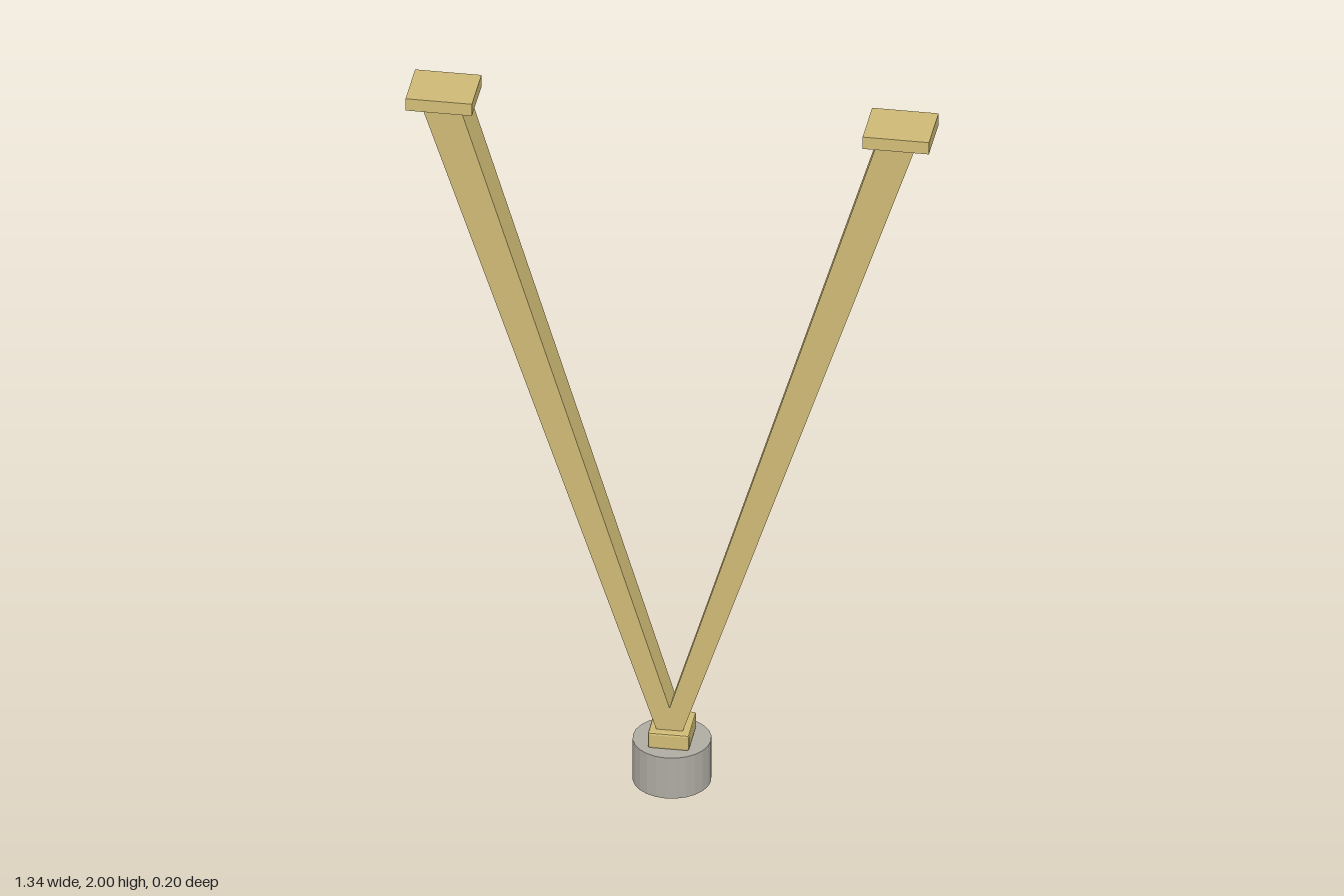
import * as THREE from 'three';
import { RoundedBoxGeometry } from 'three/addons/geometries/RoundedBoxGeometry.js';

export function createModel() {
  const model = new THREE.Group();
  model.name = 'vStand';
  const brass = new THREE.MeshStandardMaterial({ name: 'brass', color: 0xcfba75, flatShading: true });
  const steel = new THREE.MeshStandardMaterial({ name: 'steel grey', color: 0xaeaba2, flatShading: true });

  function add(name, geometry, material, x, y, z = 0) {
    const mesh = new THREE.Mesh(geometry, material);
    mesh.name = name;
    mesh.position.set(x, y, z);
    model.add(mesh);
    return mesh;
  }

  // Leaning square bar, wider at the top than at the foot
  function armGeometry(side) {
    const foot = { y: 0.13, inner: -0.031, outer: 0.022, depth: 0.039 };
    const head = { y: 1.975, inner: 0.535, outer: 0.635, depth: 0.054 };
    const geometry = new THREE.BoxGeometry(1, 1, 1);
    const p = geometry.attributes.position;
    for (let i = 0; i < p.count; i++) {
      const end = p.getY(i) > 0 ? head : foot;
      const x = p.getX(i) * side > 0 ? end.outer : end.inner;
      p.setXYZ(i, side * x, end.y, Math.sign(p.getZ(i)) * end.depth);
    }
    geometry.computeVertexNormals();
    return geometry;
  }

  // Round foot and the block that holds the arms
  add('base', new THREE.CylinderGeometry(0.1, 0.1, 0.12, 24), steel, 0, 0.06);
  add('collar', new RoundedBoxGeometry(0.106, 0.046, 0.122, 1, 0.006), brass, 0, 0.143);

  // Mirrored arms, each with a slightly tilted pad on top
  for (const side of [1, -1]) {
    const label = side > 0 ? 'left' : 'right';
    add(label + 'Arm', armGeometry(side), brass, 0, 0);
    const pad = add(label + 'Pad', new THREE.BoxGeometry(0.17, 0.034, 0.154), brass, side * 0.585, 1.9795);
    pad.rotation.x = -0.045;
  }
  return model;
}
